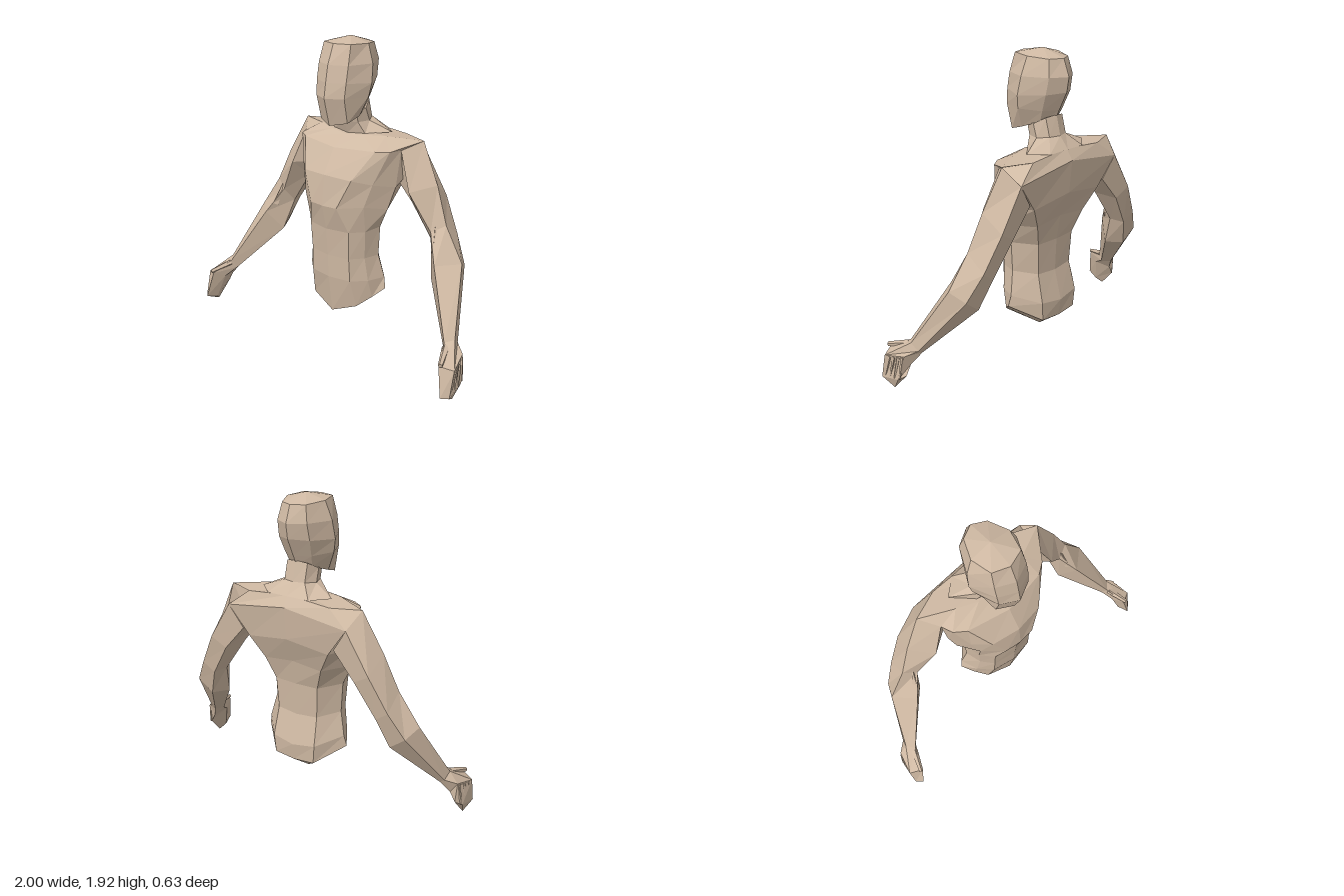
import * as THREE from 'three';

const skin = new THREE.MeshStandardMaterial({ color: 0xcfb9a3, flatShading: true });
skin.name = 'skin';

// Closed faceted skin over cross-sections listed bottom to top, each counterclockwise from above.
function loft(name, rings, bottom, top) {
  const pos = [];
  const tri = (...p) => p.forEach((v) => pos.push(...v));
  const middle = (ring) => [0, 1, 2].map((k) => ring.reduce((s, p) => s + p[k], 0) / ring.length);
  const n = rings[0].length, last = rings[rings.length - 1];
  const low = bottom || middle(rings[0]), high = top || middle(last);
  for (let j = 0; j < n; j++) {
    const k = (j + 1) % n;
    for (let i = 0; i + 1 < rings.length; i++) {
      const a = rings[i], b = rings[i + 1];
      tri(a[j], a[k], b[k]);
      tri(a[j], b[k], b[j]);
    }
    tri(rings[0][k], rings[0][j], low);
    tri(last[j], last[k], high);
  }
  const geo = new THREE.BufferGeometry();
  geo.setAttribute('position', new THREE.Float32BufferAttribute(pos, 3));
  geo.computeVertexNormals();
  const mesh = new THREE.Mesh(geo, skin);
  mesh.name = name;
  return mesh;
}

// Completes a half section (front centre, round the left, to back centre) by mirroring.
const whole = (half) => [...half, ...half.slice(1, -1).reverse().map(([x, y, z]) => [-x, y, z])];

// Tapered faceted rod between two points.
function rod(name, from, to, r0, r1, sides = 5) {
  const a = new THREE.Vector3(...from), b = new THREE.Vector3(...to);
  const dir = b.clone().sub(a);
  const mesh = new THREE.Mesh(new THREE.CylinderGeometry(r1, r0, dir.length(), sides), skin);
  mesh.position.copy(a).add(b).multiplyScalar(0.5);
  mesh.quaternion.setFromUnitVectors(new THREE.Vector3(0, 1, 0), dir.normalize());
  mesh.name = name;
  return mesh;
}

// Half sections: front centre, front panel edge, flank, side, back, spine
const torso = [
  [[0, 0.2, 0.1], [0.17, 0.27, 0.07], [0.24, 0.33, 0], [0.29, 0.38, -0.07], [0.14, 0.28, -0.22], [0, 0.27, -0.225]],
  [[0, 0.45, 0.135], [0.15, 0.45, 0.11], [0.23, 0.45, 0.03], [0.275, 0.45, -0.08], [0.15, 0.4, -0.225], [0, 0.38, -0.24]],
  [[0, 0.6, 0.14], [0.145, 0.6, 0.115], [0.21, 0.6, 0.04], [0.24, 0.6, -0.06], [0.14, 0.58, -0.18], [0, 0.57, -0.19]],
  [[0, 0.78, 0.155], [0.15, 0.78, 0.125], [0.22, 0.78, 0.05], [0.25, 0.79, -0.06], [0.15, 0.78, -0.19], [0, 0.78, -0.2]],
  [[0, 0.94, 0.19], [0.1, 0.94, 0.18], [0.23, 0.95, 0.08], [0.31, 0.92, -0.05], [0.2, 0.92, -0.23], [0, 0.94, -0.23]],
  [[0, 1.13, 0.17], [0.18, 1.12, 0.14], [0.27, 1.09, 0.05], [0.345, 1.06, -0.08], [0.28, 1.06, -0.28], [0, 1.1, -0.295]],
  [[0, 1.28, 0.08], [0.27, 1.29, 0.03], [0.34, 1.29, -0.02], [0.37, 1.29, -0.09], [0.41, 1.24, -0.305], [0, 1.3, -0.315]],
  [[0, 1.34, -0.03], [0.12, 1.35, -0.05], [0.25, 1.355, -0.1], [0.455, 1.34, -0.2], [0.28, 1.34, -0.27], [0, 1.365, -0.27]],
];
// Neck flares into the shoulders
const neck = [
  [[0, 1.34, -0.05], [0.12, 1.35, -0.07], [0.24, 1.36, -0.18], [0.14, 1.355, -0.27], [0, 1.36, -0.28]],
  [[0, 1.42, -0.02], [0.08, 1.42, -0.05], [0.105, 1.42, -0.13], [0.07, 1.43, -0.2], [0, 1.43, -0.22]],
  [[0, 1.5, 0], [0.08, 1.5, -0.03], [0.1, 1.5, -0.1], [0.07, 1.54, -0.17], [0, 1.55, -0.19]],
];
const head = [
  [[0, 1.42, 0.12], [0.1, 1.44, 0.075], [0.115, 1.47, -0.02], [0.075, 1.51, -0.13], [0, 1.52, -0.18]],
  [[0, 1.59, 0.165], [0.105, 1.59, 0.11], [0.165, 1.59, -0.04], [0.09, 1.58, -0.16], [0, 1.58, -0.21]],
  [[0, 1.68, 0.15], [0.11, 1.68, 0.1], [0.18, 1.67, -0.05], [0.105, 1.68, -0.2], [0, 1.69, -0.265]],
  [[0, 1.78, 0.13], [0.11, 1.78, 0.08], [0.17, 1.78, -0.07], [0.1, 1.78, -0.22], [0, 1.78, -0.28]],
  [[0, 1.895, 0.08], [0.1, 1.895, 0.045], [0.13, 1.89, -0.08], [0.08, 1.88, -0.2], [0, 1.88, -0.24]],
];
// Arm sections, shoulder to wrist: front, outer, back outer, back inner, inner
const arm = [
  [[0.37, 1.29, -0.09], [0.455, 1.34, -0.2], [0.41, 1.24, -0.305], [0.32, 1.1, -0.285], [0.33, 1.07, -0.14]],
  [[0.46, 1.06, -0.05], [0.58, 1.1, -0.17], [0.56, 1, -0.305], [0.46, 0.94, -0.29], [0.41, 0.96, -0.16]],
  [[0.59, 0.83, -0.1], [0.67, 0.88, -0.14], [0.67, 0.79, -0.27], [0.59, 0.73, -0.26], [0.56, 0.74, -0.17]],
  [[0.68, 0.67, -0.01], [0.8, 0.68, -0.12], [0.76, 0.63, -0.22], [0.66, 0.55, -0.21], [0.605, 0.54, -0.1]],
  [[0.87, 0.31, 0.15], [0.91, 0.32, 0.1], [0.9, 0.28, 0.05], [0.87, 0.26, 0.05], [0.85, 0.25, 0.12]],
];
const hand = [
  arm[4],
  [[0.92, 0.24, 0.28], [1, 0.22, 0.24], [0.965, 0.25, 0.1], [0.92, 0.18, 0.1], [0.89, 0.2, 0.2]],
  [[0.96, 0.065, 0.315], [1, 0.06, 0.28], [0.99, 0.09, 0.14], [0.955, 0.12, 0.1], [0.94, 0.04, 0.24]],
];

function makeArm(side) {
  const group = new THREE.Group();
  group.name = side > 0 ? 'leftArm' : 'rightArm';
  const flip = ([x, y, z]) => [x * side, y, z];
  const place = (rings) => rings.map((r) => (side > 0 ? r.map(flip) : r.map(flip).reverse())).reverse();
  group.add(loft('armSkin', place(arm)));
  group.add(loft('handPalm', place(hand), flip([0.97, 0.005, 0.2])));
  // fingers raised along the back of the hand
  for (let i = 0; i < 4; i++) {
    const t = i / 3;
    group.add(rod('finger', flip([0.965 + 0.02 * t, 0.24 - 0.02 * t, 0.115 + 0.09 * t]),
      flip([0.985 + 0.006 * t, 0.1 - 0.04 * t, 0.13 + 0.13 * t]), 0.012, 0.007));
  }
  group.add(rod('thumb', flip([0.885, 0.285, 0.15]), flip([0.935, 0.25, 0.285]), 0.024, 0.014));
  // tendon at the inside of the elbow
  group.add(rod('elbowTendon', flip([0.645, 0.72, -0.07]), flip([0.61, 0.87, -0.12]), 0.025, 0.003, 4));
  return group;
}

export function createModel() {
  const model = new THREE.Group();
  model.name = 'upperBody';
  model.add(
    loft('torso', torso.map(whole), [0, 0.15, -0.06], [0, 1.36, -0.14]),
    loft('neck', neck.map(whole)),
    loft('head', head.map(whole), [0, 1.48, -0.02], [0, 1.925, -0.08]),
    makeArm(1),
    makeArm(-1),
  );
  return model;
}
